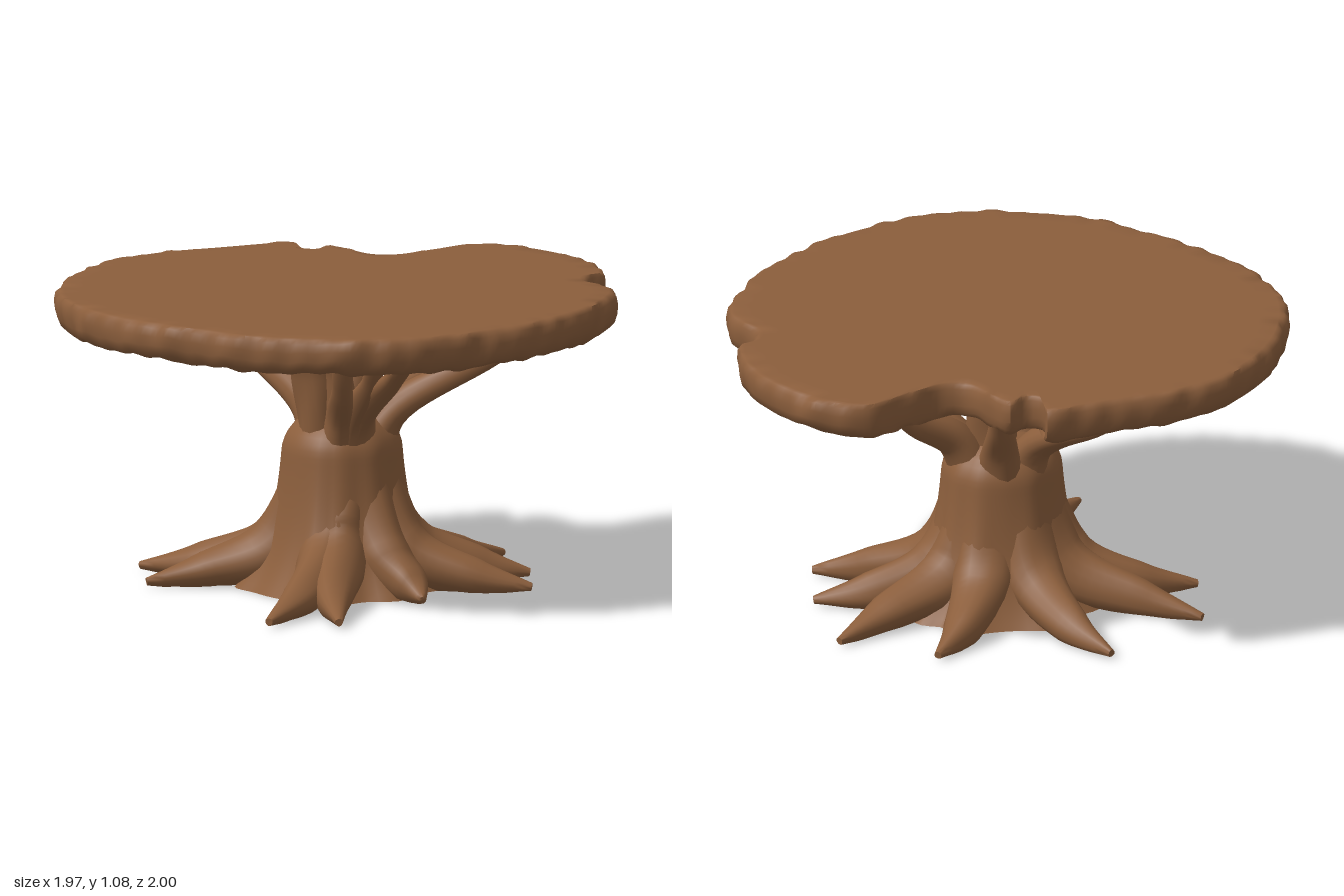
import * as THREE from 'three';
import { toCreasedNormals } from 'three/addons/utils/BufferGeometryUtils.js';

const wood = new THREE.MeshStandardMaterial({ color: 0x8b5e3c });
wood.name = 'brown wood';

const V = (x, y, z) => new THREE.Vector3(x, y, z);
const TURN = Math.PI * 2;
const CX = 0.02, CZ = 0.02; // trunk axis

// Skin a stack of rings (equal point counts) and close both ends.
function loft(name, rings, crease = 1.2) {
  const n = rings[0].length, last = rings.length - 1, pos = [], idx = [];
  const centre = (ring) => ring.reduce((s, p) => s.add(p), V(0, 0, 0)).divideScalar(n);
  rings.forEach((ring) => ring.forEach((p) => pos.push(p.x, p.y, p.z)));
  const c0 = rings.length * n, c1 = c0 + 1;
  pos.push(...centre(rings[0]).toArray(), ...centre(rings[last]).toArray());
  for (let j = 0; j < n; j++) {
    const k = (j + 1) % n;
    for (let i = 0; i < last; i++) {
      const a = i * n + j, b = i * n + k;
      idx.push(a, a + n, b, b, a + n, b + n);
    }
    idx.push(c0, j, k, c1, last * n + k, last * n + j);
  }
  const geo = new THREE.BufferGeometry();
  geo.setAttribute('position', new THREE.Float32BufferAttribute(pos, 3));
  geo.setIndex(idx);
  const mesh = new THREE.Mesh(toCreasedNormals(geo, crease), wood);
  mesh.name = name;
  return mesh;
}

// Linear interpolation through evenly spaced values.
function along(values, t) {
  const f = t * (values.length - 1), i = Math.min(Math.floor(f), values.length - 2);
  return THREE.MathUtils.lerp(values[i], values[i + 1], f - i);
}

// Tapered, slightly knobbly limb that never dips below the floor.
function limb(name, points, radii) {
  const steps = 28, sides = 16;
  const curve = new THREE.CatmullRomCurve3(points);
  const frames = curve.computeFrenetFrames(steps);
  const rings = [];
  for (let i = 0; i <= steps; i++) {
    const t = i / steps, c = curve.getPoint(t);
    rings.push(Array.from({ length: sides }, (_, j) => {
      const a = (j / sides) * TURN;
      const r = along(radii, t) * (1 + 0.06 * Math.sin(3 * a + t * 7));
      const p = c.clone()
        .addScaledVector(frames.binormals[i], Math.cos(a) * r)
        .addScaledVector(frames.normals[i], Math.sin(a) * r);
      p.y = Math.max(p.y, 0);
      return p;
    }));
  }
  return loft(name, rings);
}

// Distance from the trunk axis to x, z, and a placer: outward, height, sideways.
function ray(x, z) {
  const len = Math.hypot(x - CX, z - CZ), ux = (x - CX) / len, uz = (z - CZ) / len;
  return { len, at: (d, y, side = 0) => V(CX + ux * d - uz * side, y, CZ + uz * d + ux * side) };
}

// Slab outline as x, z pairs, with the two bark notches at the back.
const OUTLINE = [
  [0.2, -1], [0, -0.96], [-0.07, -0.8], [-0.14, -0.64], [-0.22, -0.6], [-0.43, -0.66],
  [-0.45, -0.58], [-0.53, -0.575], [-0.58, -0.65], [-0.78, -0.41], [-0.9, -0.24],
  [-0.975, 0], [-0.94, 0.35], [-0.74, 0.71], [-0.42, 0.91], [0, 0.975], [0.17, 0.99],
  [0.38, 0.95], [0.7, 0.76], [0.92, 0.4], [0.98, 0.05], [0.96, -0.25], [0.87, -0.47],
  [0.69, -0.57], [0.66, -0.65], [0.68, -0.71], [0.5, -0.9],
];

function tableTop() {
  const count = 300;
  const curve = new THREE.CatmullRomCurve3(OUTLINE.map(([x, z]) => V(x, 0, z)).reverse(), true);
  curve.arcLengthDivisions = 900;
  const edge = curve.getSpacedPoints(count).slice(0, count);
  // Scale, height and roughness of each ring, underside first.
  const levels = [
    [0.5, 0.95, 0], [0.8, 0.948, 0.004], [0.92, 0.942, 0.008], [0.96, 0.945, 0.01],
    [0.985, 0.965, 0.01], [0.995, 0.995, 0.009], [1, 1.03, 0.008], [0.996, 1.062, 0.007],
    [0.985, 1.077, 0.005], [0.97, 1.08, 0], [0.9, 1.08, 0],
  ];
  const rings = levels.map(([s, y, rough], i) => edge.map((p, j) => {
    const a = (j / count) * TURN;
    const n = Math.sin(13 * a + i * 0.5) * Math.sin(5 * a) + 0.7 * Math.sin(37 * a + 0.6 * i)
      * Math.sin(8 * a + 1) + 0.5 * Math.sin(61 * a - 0.4 * i);
    const k = s + n * rough * 0.8;
    return V(p.x * k, Math.min(y + n * rough * 0.7, 1.08), p.z * k);
  }));
  return loft('tableTop', rings, 1);
}

// Root tips on the floor as x, z pairs.
const ROOTS = [
  [-0.73, 0.17], [-0.55, 0.43], [0.22, 0.87], [0.44, 0.75], [0.48, 0.23],
  [0.69, -0.18], [0.54, -0.42], [0.26, -0.7], [-0.11, -0.63], [-0.63, -0.29],
];

// Flared trunk, fluted towards each root, with a domed crown.
function trunk() {
  const angles = ROOTS.map(([x, z]) => Math.atan2(z - CZ, x - CX));
  const steps = 28, height = 0.66, shoulder = 0.5;
  const rings = Array.from({ length: steps }, (_, i) => {
    const y = (i / steps) * height;
    const dome = Math.sqrt(1 - Math.max(0, (y - shoulder) / (height - shoulder)) ** 2);
    return Array.from({ length: 72 }, (_, j) => {
      const a = (j / 72) * TURN;
      const near = Math.max(...angles.map((b) => Math.cos(a - b)));
      const flute = 0.05 * Math.exp(-y / 0.25) * (Math.exp((near - 1) * 40) - 0.4);
      const r = (0.195 + 0.15 * Math.exp(-y / 0.2) + flute) * dome;
      return V(CX + Math.cos(a) * r, y, CZ + Math.sin(a) * r * 1.1);
    });
  });
  return loft('trunk', rings);
}

// Root swelling out of the trunk and tapering along the floor.
function root([x, z], i) {
  const { len, at } = ray(x, z);
  const bend = i % 2 ? 0.025 : -0.025;
  return limb('root', [
    at(0.07, 0.56), at(0.125, 0.34), at(0.24, 0.14, bend / 2),
    at(0.14 + len / 2, 0.055, bend), at(len, 0.022),
  ], [0.1, 0.105, 0.105, 0.068, 0.014]);
}

// Branch tips under the slab: x, z, elbow height, thickness.
const BRANCHES = [
  [-0.02, 0.19, 0.8, 0.085], [0.08, 0.18, 0.8, 0.06], [0.03, -0.07, 0.8, 0.085],
  [-0.64, -0.17, 0.83, 0.034], [-0.18, -0.32, 0.79, 0.042], [0.25, -0.41, 0.77, 0.045],
  [0.66, -0.3, 0.86, 0.034], [0.58, 0.5, 0.86, 0.034], [0.41, 0.42, 0.82, 0.033],
  [0.26, 0.42, 0.78, 0.036],
];

// Branch leaving the crown, spreading to an elbow and rising to the slab.
function branch([x, z, elbow, thick]) {
  const { len, at } = ray(x, z);
  return limb('branch', [
    at(Math.min(0.08, len * 0.4), 0.45), at(Math.min(0.19, len * 0.6), 0.64),
    at(len * 0.8, elbow), at(len, 0.97),
  ], [0.1, thick * 0.6 + 0.04, thick, thick * 1.15]);
}

export function createModel() {
  const model = new THREE.Group();
  model.name = 'treeTrunkTable';
  model.add(tableTop(), trunk(), ...ROOTS.map(root), ...BRANCHES.map(branch));
  return model;
}
